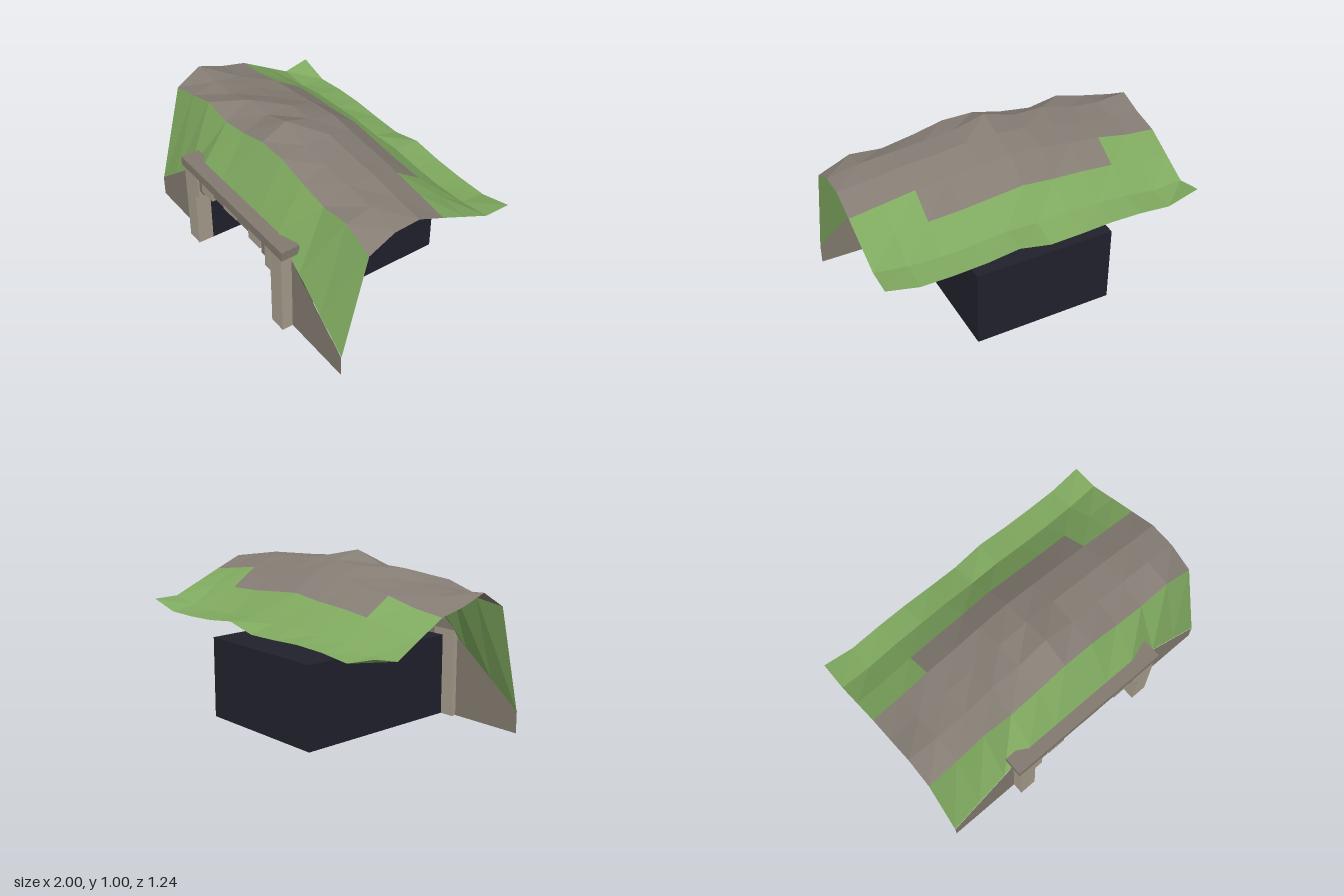
import * as THREE from 'three';

const make = (name, color) => {
  const m = new THREE.MeshStandardMaterial({ color, flatShading: true, side: THREE.DoubleSide });
  m.name = name;
  return m;
};

// Hill heights: each row runs from x = -1 to 1 in steps of 0.2, front to back
const rowZ = [0.54, 0.375, 0.21, 0.045, -0.125, -0.29, -0.455, -0.62];
const heights = [
  [0.135, 0.29, 0.445, 0.61, 0.61, 0.61, 0.61, 0.61, 0.445, 0.29, 0.135],
  [0.78, 0.825, 0.88, 0.845, 0.875, 0.925, 0.925, 0.88, 0.845, 0.865, 0.78],
  [0.88, 0.865, 0.88, 0.94, 0.94, 1.005, 0.95, 0.93, 0.915, 0.9, 0.86],
  [0.825, 0.85, 0.87, 0.9, 0.945, 0.96, 0.955, 0.935, 0.92, 0.89, 0.87],
  [0.79, 0.81, 0.85, 0.87, 0.9, 0.92, 0.9, 0.88, 0.86, 0.83, 0.8],
  [0.70, 0.72, 0.75, 0.77, 0.78, 0.80, 0.78, 0.76, 0.75, 0.74, 0.73],
  [0.61, 0.60, 0.63, 0.64, 0.65, 0.64, 0.65, 0.63, 0.62, 0.63, 0.66],
  [0.65, 0.59, 0.61, 0.615, 0.605, 0.60, 0.645, 0.62, 0.61, 0.61, 0.66],
];

// Rock covers the crest and the middle of the first row behind it
const isRock = (row, col) => (row >= 1 && row <= 3) || (row === 4 && col >= 2 && col <= 7);

function hillPatch(wantRock) {
  const pos = [];
  const point = (r, c) => [-1 + c * 0.2, heights[r][c], rowZ[r]];
  for (let r = 0; r < 7; r++) {
    for (let c = 0; c < 10; c++) {
      if (isRock(r, c) !== wantRock) continue;
      const a = point(r, c), b = point(r, c + 1), d = point(r + 1, c + 1), e = point(r + 1, c);
      pos.push(...a, ...b, ...d, ...a, ...d, ...e);
    }
  }
  const g = new THREE.BufferGeometry();
  g.setAttribute('position', new THREE.Float32BufferAttribute(pos, 3));
  g.computeVertexNormals();
  return g;
}

export function createModel() {
  const grass = make('grass', 0x7fa95f);
  const rock = make('rock', 0x857d74);
  const stone = make('light stone', 0xa69c8c);
  const trim = make('grey stone', 0x827a6f);
  const dark = make('tunnel dark', 0x21212d);

  const model = new THREE.Group();
  model.name = 'tunnelPortal';
  const add = (name, geometry, material) => {
    const mesh = new THREE.Mesh(geometry, material);
    mesh.name = name;
    model.add(mesh);
    return mesh;
  };
  // Box given by its limits on each axis
  const box = (name, material, x0, x1, y0, y1, z0, z1) =>
    add(name, new THREE.BoxGeometry(Math.abs(x1 - x0), y1 - y0, z1 - z0), material)
      .position.set((x0 + x1) / 2, (y0 + y1) / 2, (z0 + z1) / 2);

  // Hillside
  add('hillGrass', hillPatch(false), grass);
  add('hillRock', hillPatch(true), rock);

  // Tunnel shell, open at the front and underneath
  box('tunnelRoof', dark, -0.44, 0.44, 0.45, 0.5, -0.57, 0.51);
  box('tunnelBack', dark, -0.42, 0.42, 0, 0.45, -0.57, -0.55);

  // Arch stones: inner x, outer x, underside height, material, front z
  const archStones = [
    [0.37, 0.42, 0.385, stone, 0.615],
    [0.32, 0.37, 0.44, trim, 0.605],
    [0.2, 0.32, 0.475, stone, 0.615],
    [0.07, 0.2, 0.5, trim, 0.605],
  ];
  for (const s of [-1, 1]) {
    box('tunnelWall', dark, s * 0.42, s * 0.44, 0, 0.45, -0.57, 0.51);
    box('pillar', stone, s * 0.42, s * 0.53, 0, 0.545, 0.51, 0.612);
    for (const [x0, x1, y0, mat, z1] of archStones)
      box('archStone', mat, s * x0, s * x1, y0, 0.545, 0.51, z1);

    // Sloping wing wall
    const wing = new THREE.Shape([
      new THREE.Vector2(s * 0.53, 0),
      new THREE.Vector2(s, 0),
      new THREE.Vector2(s, 0.135),
      new THREE.Vector2(s * 0.53, 0.5),
    ]);
    add('wingWall', new THREE.ShapeGeometry(wing), trim).position.z = 0.542;
  }
  box('keystone', stone, -0.07, 0.07, 0.51, 0.545, 0.51, 0.615);

  // Cornice across the portal
  box('cornice', trim, -0.55, 0.55, 0.545, 0.603, 0.5, 0.62);

  return model;
}
